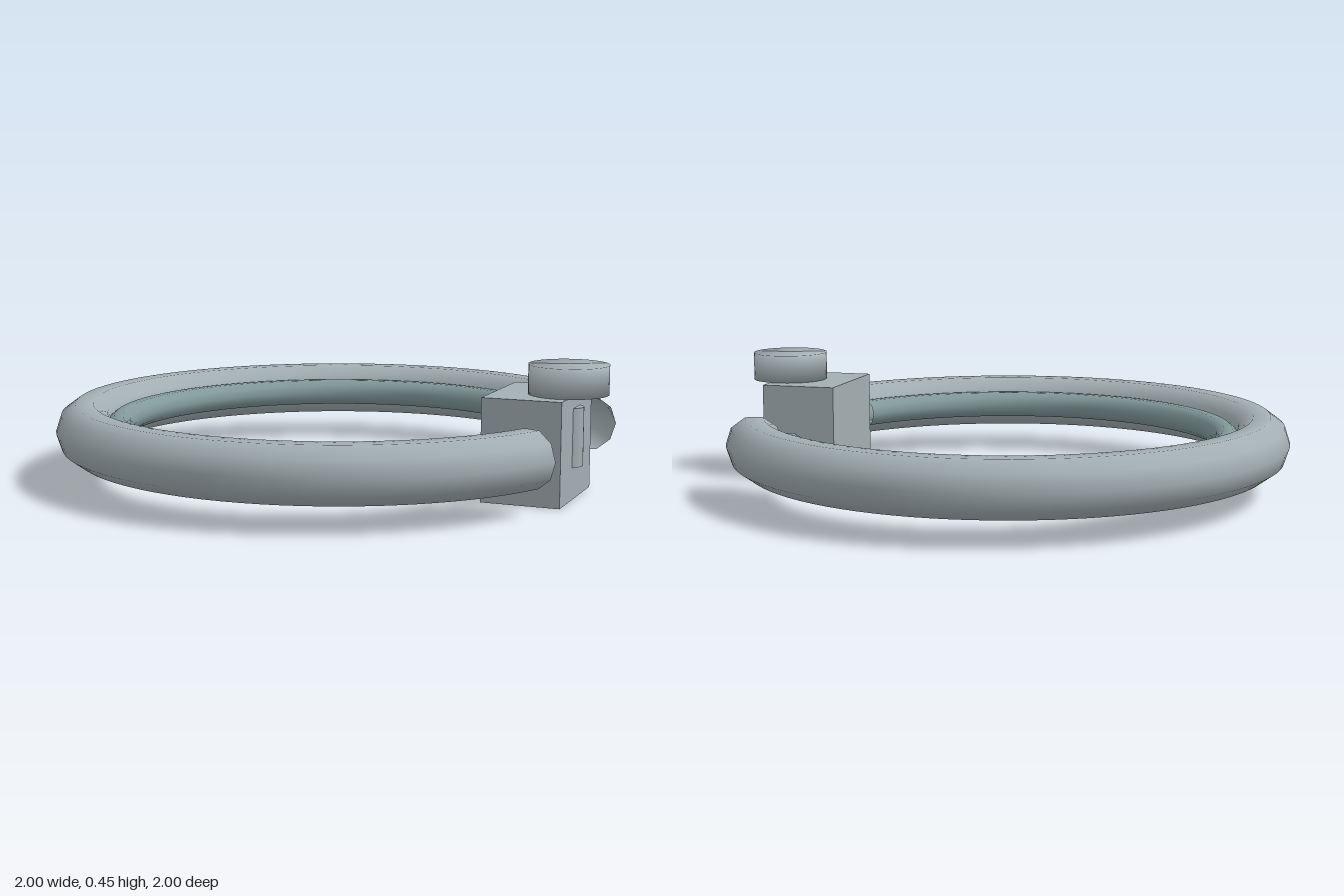
import * as THREE from 'three';

const steel = new THREE.MeshStandardMaterial({ color: 0xa3afb3, side: THREE.DoubleSide });
steel.name = 'steel grey';
const teal = new THREE.MeshStandardMaterial({ color: 0x829a9c, side: THREE.DoubleSide });
teal.name = 'teal grey';

function addMesh(group, name, geometry, material, x, y, z) {
  const mesh = new THREE.Mesh(geometry, material);
  mesh.name = name;
  mesh.position.set(x, y, z);
  group.add(mesh);
}

// Open horizontal ring with its gap centred on +x; halfGap in radians
function openRing(radius, tube, sides, halfGap) {
  return new THREE.TorusGeometry(radius, tube, sides, 80, Math.PI * 2 - 2 * halfGap)
    .rotateZ(halfGap)
    .rotateX(Math.PI / 2);
}

export function createModel() {
  const group = new THREE.Group();
  group.name = 'splitRingClamp';

  // Hollow outer ring and the liner along its inner side
  addMesh(group, 'outerRing', openRing(0.9, 0.1, 10, 0.417), steel, 0, 0.18, 0);
  addMesh(group, 'innerLiner', openRing(0.782, 0.05, 10, 0.51), teal, 0, 0.18, 0);

  // Clasp block beside the gap
  addMesh(group, 'claspBlock', new THREE.BoxGeometry(0.272, 0.352, 0.388), steel, 0.757, 0.176, 0.073);

  // Upright pin showing through the outer face of the block
  const pin = new THREE.CylinderGeometry(0.054, 0.054, 0.2, 32);
  addMesh(group, 'claspPin', pin, steel, 0.863, 0.21, 0.075);

  // Thumb knob with softly shaded rims
  const profile = [[0, 0], [0.135, 0], [0.135, 0.1], [0, 0.1]].map(([r, y]) => new THREE.Vector2(r, y));
  addMesh(group, 'thumbKnob', new THREE.LatheGeometry(profile, 40), steel, 0.864, 0.352, 0.075);

  return group;
}
